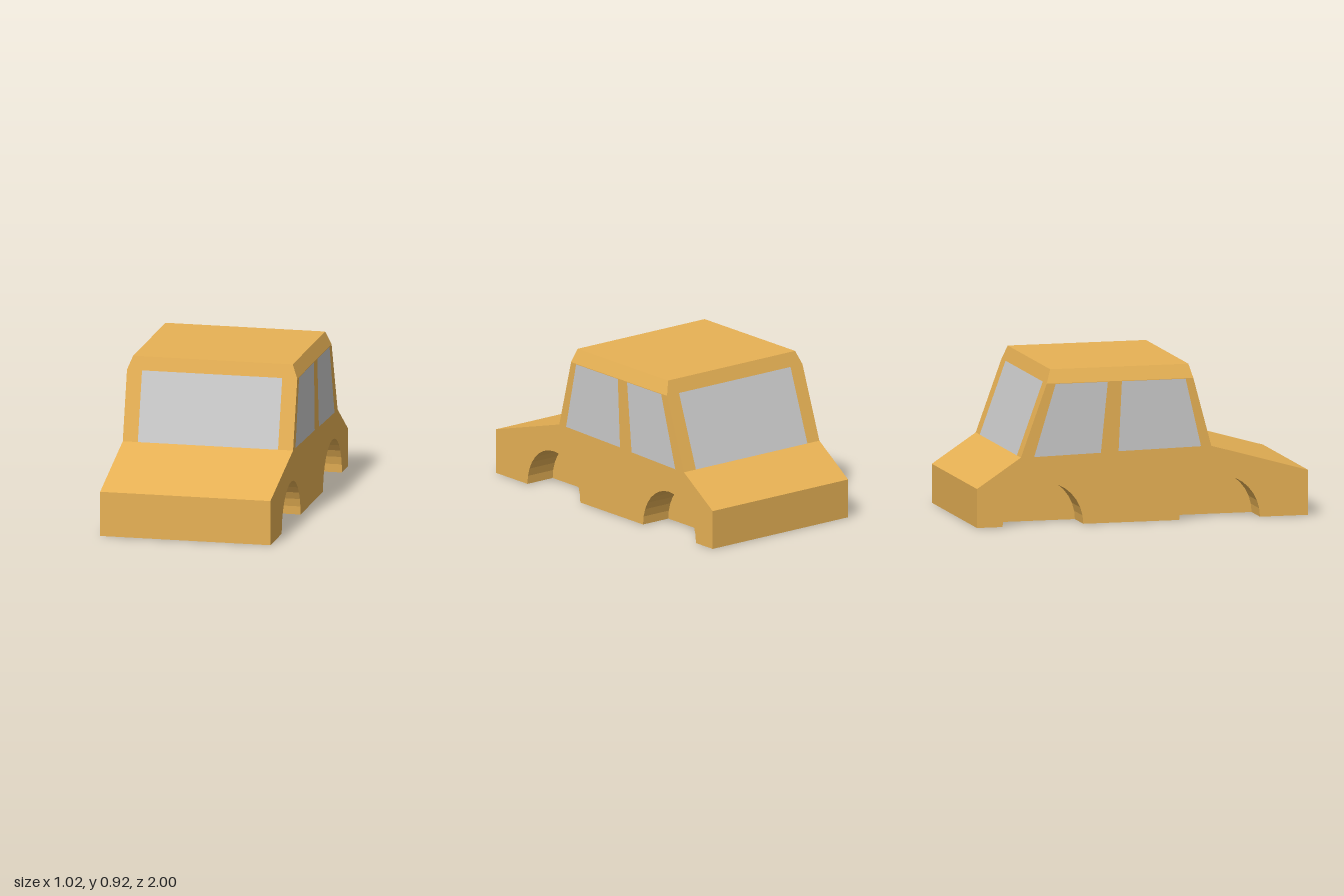
import * as THREE from 'three';

const paint = new THREE.MeshStandardMaterial({ color: 0xe8b255, flatShading: true });
const glass = new THREE.MeshStandardMaterial({ color: 0xcccccc, flatShading: true });

const W = 0.51, ROOF_W = 0.478, GLASS_W = 0.42, WELL_X = 0.32;
const SHOULDER = 0.835, ROOF_Y = 0.915, WELL_H = 0.255, WELL_R = 0.244;
const WELLS = [0.465, -0.602];
const NOSE = [1, 0.265], COWL = [0.415, 0.43], ROOF_F = [0.285, ROOF_Y];
const ROOF_B = [-0.55, ROOF_Y], DECK = [-0.735, 0.405], TAIL = [-1, 0.23];

// Straight line through (a0, b0) and (a1, b1)
const line = (a0, b0, a1, b1) => a => b0 + (b1 - b0) * (a - a0) / (a1 - a0);
const frontZ = line(COWL[1], COWL[0], ROOF_Y, ROOF_F[0]);
const rearZ = line(DECK[1], DECK[0], ROOF_Y, ROOF_B[0]);
const hoodY = line(...NOSE, ...COWL);
const trunkY = line(...DECK, ...TAIL);
const chamferX = line(SHOULDER, W, ROOF_Y, ROOF_W);
const vec = p => new THREE.Vector2(p[0], p[1]);
const rect = (x, a, b) => [[-x, a], [x, a], [x, b], [-x, b]];

// Place a flat geometry's vertices in space; flip reverses the facing
function place(geo, map, flip) {
  const pos = geo.attributes.position;
  for (let i = 0; i < pos.count; i++) pos.setXYZ(i, ...map(pos.getX(i), pos.getY(i)));
  if (flip) geo.index.array.reverse();
  geo.computeVertexNormals();
  return geo;
}

function panel(outline, holes, map, flip) {
  const shape = new THREE.Shape(outline.map(vec));
  holes.forEach(h => shape.holes.push(new THREE.Path(h.map(vec))));
  return place(new THREE.ShapeGeometry(shape), map, flip);
}

// Half arch in (z, y), from its front foot to its rear foot
function arch(c, n = 16) {
  return Array.from({ length: n + 1 }, (_, i) => {
    const a = Math.PI * i / n;
    return [c + WELL_R * Math.cos(a), WELL_H * Math.sin(a)];
  });
}

export function createModel() {
  const car = new THREE.Group();
  car.name = 'carBody';
  const add = (name, geo, mat = paint) => {
    const mesh = new THREE.Mesh(geo, mat);
    mesh.name = name;
    car.add(mesh);
  };

  // Panels across the car
  add('nosePanel', panel(rect(W, 0, NOSE[1]), [], (x, y) => [x, y, 1], false));
  add('tailPanel', panel(rect(W, 0, TAIL[1]), [], (x, y) => [x, y, -1], true));
  add('hood', panel(rect(W, COWL[0], 1), [], (x, z) => [x, hoodY(z), z], true));
  add('trunkLid', panel(rect(W, -1, DECK[0]), [], (x, z) => [x, trunkY(z), z], true));
  add('roof', panel(rect(ROOF_W, ROOF_B[0], ROOF_F[0]), [], (x, z) => [x, ROOF_Y, z], true));

  // Windscreen and rear window, each in a frame open at the bottom
  const screen = (frameName, glassName, base, zAt, flip) => {
    const half = [[GLASS_W, SHOULDER], [GLASS_W, base], [W, base], [W, SHOULDER], [ROOF_W, ROOF_Y]];
    const frame = [...half, ...half.map(([x, y]) => [-x, y]).reverse()];
    const map = (x, y) => [x, y, zAt(y)];
    add(frameName, panel(frame, [], map, flip));
    add(glassName, panel(rect(GLASS_W, base, SHOULDER), [], map, flip), glass);
  };
  screen('windscreenFrame', 'windscreen', COWL[1], frontZ, false);
  screen('rearWindowFrame', 'rearWindow', DECK[1], rearZ, true);

  // Floor with a notch at each wheel
  const edge = [[W, 1]];
  WELLS.forEach(c => edge.push([W, c + WELL_R], [WELL_X, c + WELL_R],
    [WELL_X, c - WELL_R], [W, c - WELL_R]));
  edge.push([W, -1]);
  const floor = [...edge, ...edge.map(([x, z]) => [-x, z]).reverse()];
  add('floor', panel(floor, [], (x, z) => [x, 0, z], false));

  // Side outlines in (z, y)
  const side = [[1, 0], ...arch(WELLS[0]), ...arch(WELLS[1]), [-1, 0], TAIL, DECK,
    [rearZ(SHOULDER), SHOULDER], [frontZ(SHOULDER), SHOULDER], COWL, NOSE];
  const frontPane = [[0.353, 0.43], [0.26, 0.832], [-0.125, 0.832], [-0.145, 0.42]];
  const rearPane = [[-0.21, 0.832], [-0.252, 0.415], [-0.655, 0.405], [-0.525, 0.832]];
  const chamfer = [[frontZ(SHOULDER), SHOULDER], ROOF_F, ROOF_B, [rearZ(SHOULDER), SHOULDER]];

  for (const [s, label] of [[1, 'left'], [-1, 'right']]) {
    const flip = s > 0;
    const flat = (z, y) => [s * W, y, z];
    add(label + 'Side', panel(side, [frontPane, rearPane], flat, flip));
    add(label + 'FrontWindow', panel(frontPane, [], flat, flip), glass);
    add(label + 'RearWindow', panel(rearPane, [], flat, flip), glass);
    add(label + 'RoofChamfer', panel(chamfer, [], (z, y) => [s * chamferX(y), y, z], flip));

    // Wheel wells: curved lining and inner wall
    WELLS.forEach((c, i) => {
      const name = label + (i ? 'Rear' : 'Front');
      const lining = (u, v) => {
        const a = Math.PI * (u + 0.5);
        return [s * (WELL_X + (W - WELL_X) * (v + 0.5)),
          WELL_H * Math.sin(a), c + WELL_R * Math.cos(a)];
      };
      add(name + 'WellLining', place(new THREE.PlaneGeometry(1, 1, 16, 1), lining, s < 0));
      add(name + 'WellWall', panel(arch(c), [], (z, y) => [s * WELL_X, y, z], flip));
    });
  }
  return car;
}
